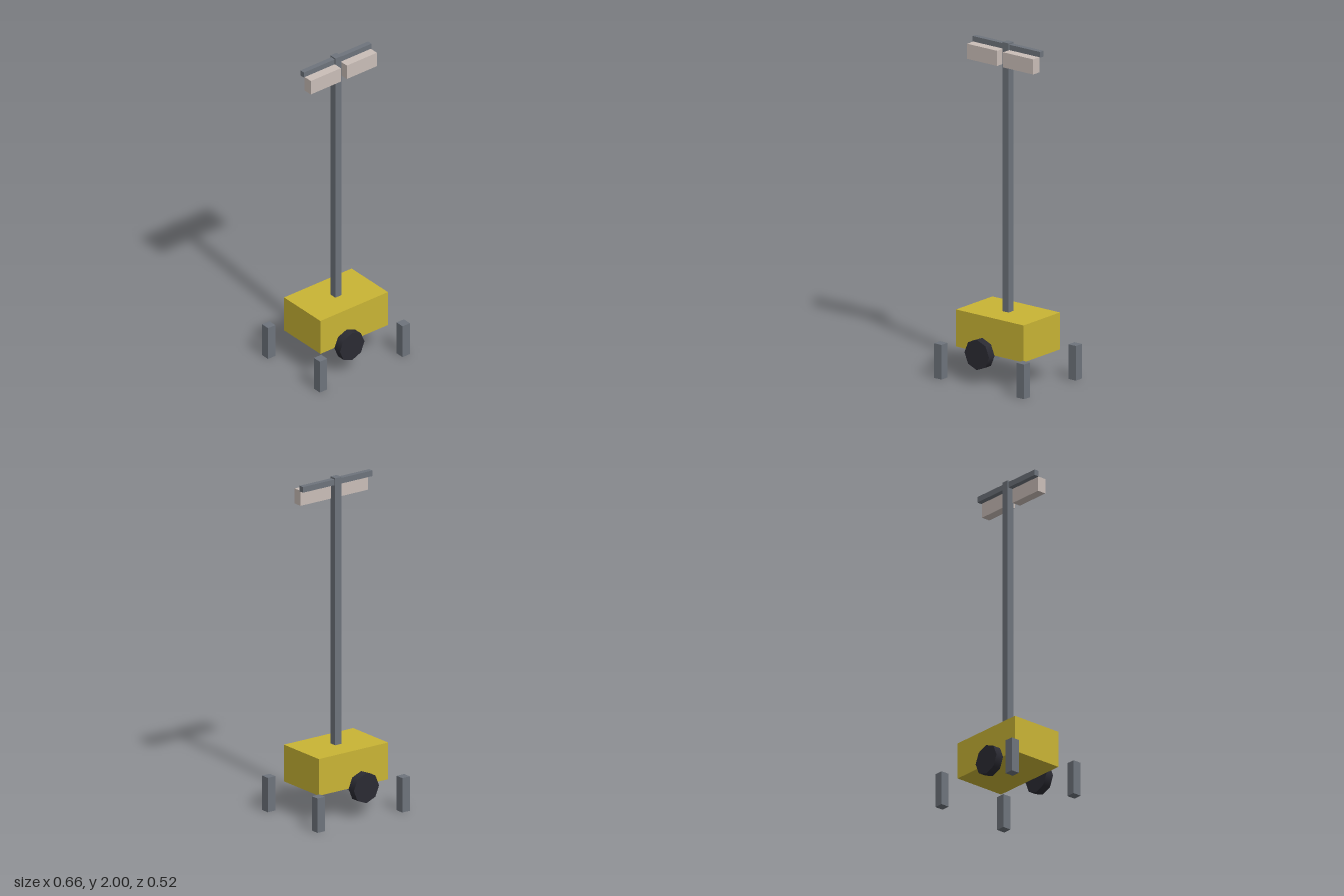
import * as THREE from 'three';

const material = (name, color) => {
  const m = new THREE.MeshStandardMaterial({ color });
  m.name = name;
  return m;
};

export function createModel() {
  const model = new THREE.Group();
  model.name = 'lightTower';
  const yellow = material('yellowPaint', 0xc9b435);
  const steel = material('greySteel', 0x6e747c);
  const lampGrey = material('paleLamp', 0xcabeb8);
  const rubber = material('blackRubber', 0x2b2b33);

  const add = (name, geometry, mat, x, y, z) => {
    const mesh = new THREE.Mesh(geometry, mat);
    mesh.name = name;
    mesh.position.set(x, y, z);
    model.add(mesh);
    return mesh;
  };
  const box = (name, mat, w, h, d, x, y, z) =>
    add(name, new THREE.BoxGeometry(w, h, d), mat, x, y, z);

  // Generator housing, mast and crossbar
  box('body', yellow, 0.495, 0.22, 0.328, 0, 0.29, 0);
  box('mast', steel, 0.045, 1.6, 0.045, 0, 1.2, 0);
  box('crossbar', steel, 0.495, 0.034, 0.031, 0, 1.974, 0);

  for (const side of [1, -1]) {
    const label = side > 0 ? 'left' : 'right';
    // Lamps hang in front of the crossbar
    box(label + 'Lamp', lampGrey, 0.22, 0.09, 0.055, side * 0.132, 1.914, 0.043);

    // Stabiliser feet at the four corners
    for (const end of [1, -1]) {
      box(label + (end > 0 ? 'Front' : 'Back') + 'Foot', steel,
        0.054, 0.206, 0.054, side * 0.303, 0.103, end * 0.2335);
    }

    // Eight-sided wheels on the front and back faces
    const wheel = new THREE.CylinderGeometry(0.09, 0.09, 0.05, 8).rotateX(Math.PI / 2);
    add(side > 0 ? 'frontWheel' : 'backWheel', wheel, rubber, -0.055, 0.178, side * 0.189);
  }
  return model;
}
